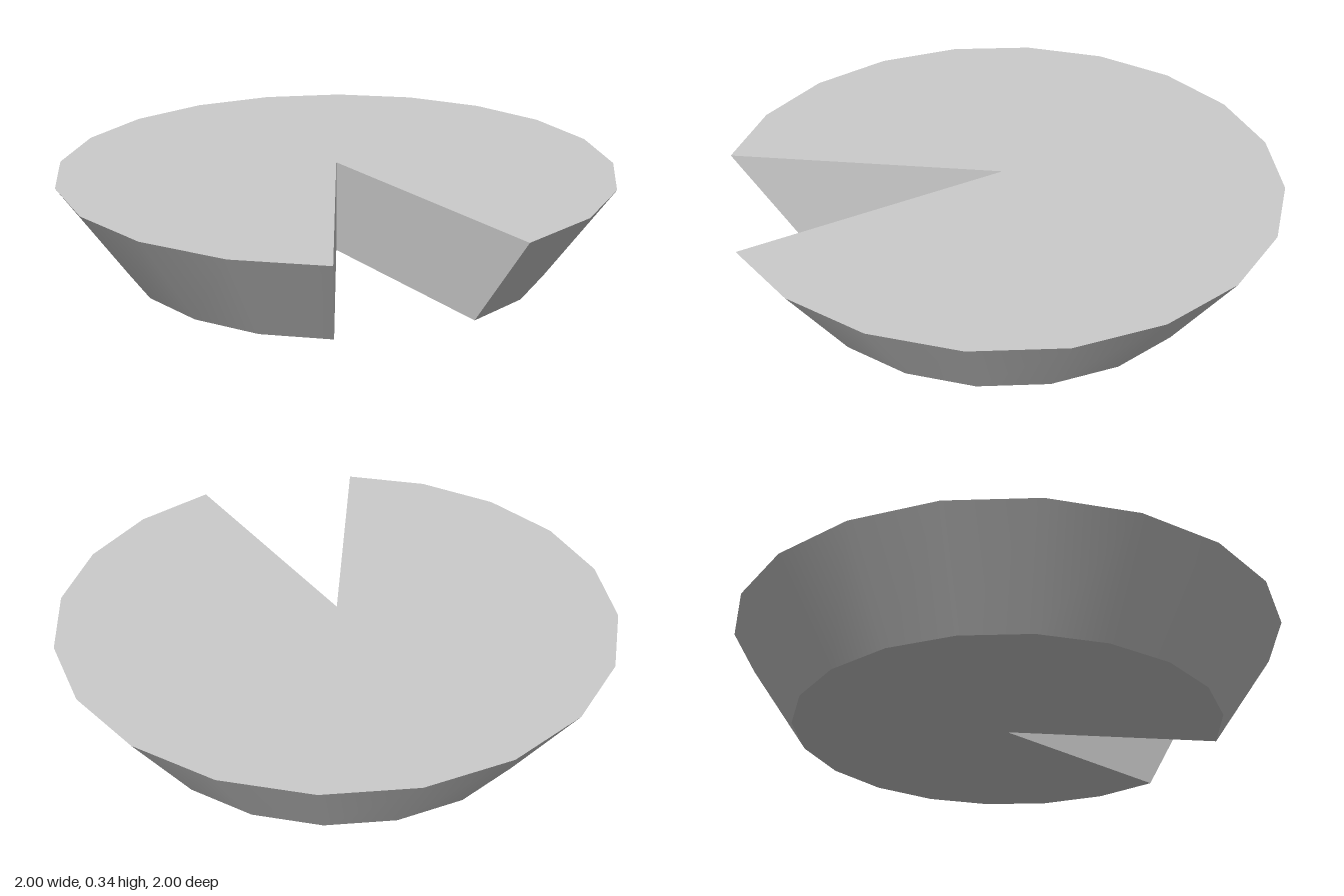
import * as THREE from 'three';

const TOP = 1, BOTTOM = 0.77, HEIGHT = 0.34;
const STEP = Math.PI / 10; // one of twenty sides

export function createModel() {
  const model = new THREE.Group();
  model.name = 'cutPie';
  const material = new THREE.MeshStandardMaterial({ color: 0xcccccc });

  const add = (name, geometry) => {
    const mesh = new THREE.Mesh(geometry, material);
    mesh.name = name;
    model.add(mesh);
    return mesh;
  };

  // Tapered body with two of its twenty sides left out for the missing slice
  const body = new THREE.CylinderGeometry(TOP, BOTTOM, HEIGHT, 20 - 2, 1, false, 4 * STEP, 18 * STEP);
  add('pieBody', body.translate(0, HEIGHT / 2, 0));

  // Flat cut faces closing the notch; side -1 mirrors the profile so it faces inwards
  const cutFace = (side) => new THREE.ShapeGeometry(new THREE.Shape([
    new THREE.Vector2(0, 0),
    new THREE.Vector2(side * BOTTOM, 0),
    new THREE.Vector2(side * TOP, HEIGHT),
    new THREE.Vector2(0, HEIGHT),
  ]));
  add('leftCutFace', cutFace(1)).rotation.y = -STEP;
  add('rightCutFace', cutFace(-1)).rotation.y = Math.PI - 3 * STEP;

  return model;
}
